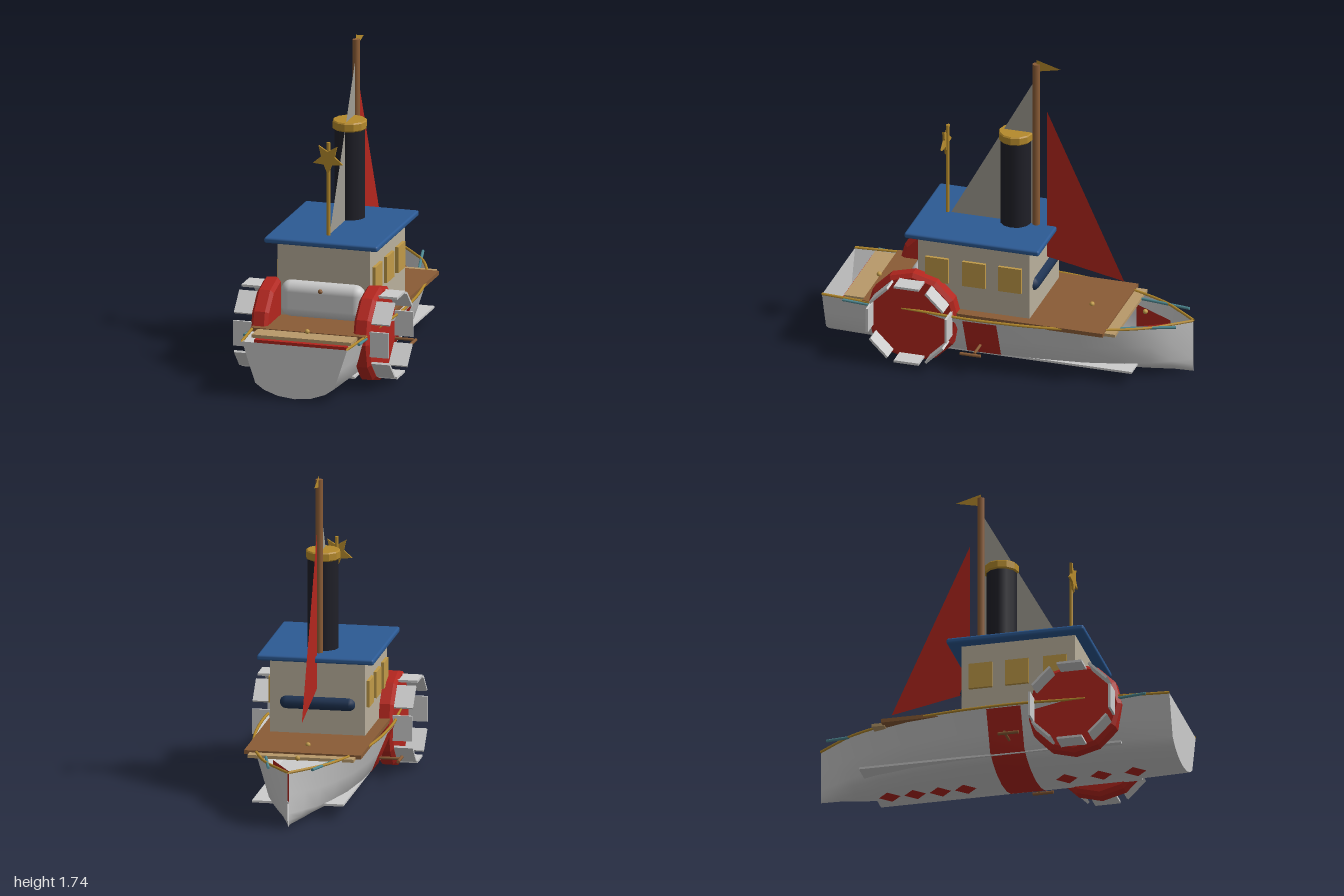
import * as THREE from 'three';
import { RoundedBoxGeometry } from 'three/addons/geometries/RoundedBoxGeometry.js';

const mat = (color, o = {}) => new THREE.MeshStandardMaterial({ color, ...o });
const two = { side: THREE.DoubleSide };
const M = {
  grey: mat(0xcccccc), shell: mat(0xcccccc, two), red: mat(0xb3261e, two), wheel: mat(0xb3261e, { flatShading: true }),
  wood: mat(0x8a5c36), tan: mat(0xb8996a), gold: mat(0xb58a2c, two), roof: mat(0x2c5a94), navy: mat(0x1e3352),
  wall: mat(0xbab09c), pane: mat(0xc09a48), black: mat(0x202028), teal: mat(0x4f8a94), sail: mat(0xa09c92, two),
};

// Hull half-widths from bow to stern [z, halfWidth], and half-section [width fraction, y]
const PLAN = [[-1, 0.004], [-0.9, 0.085], [-0.8, 0.16], [-0.65, 0.23], [-0.45, 0.295], [-0.2, 0.335], [0, 0.349],
  [0.19, 0.352], [0.4, 0.337], [0.7, 0.318], [1, 0.295]];
const HALF = [[1, 0.31], [0.87, 0.19], [0.75, 0.085], [0.58, 0.05], [0.32, 0.023], [0, 0.012]];
const SECTION = [...HALF, ...HALF.slice(0, -1).reverse().map(([s, y]) => [-s, y])];

function halfWidth(z) {
  const i = Math.max(1, PLAN.findIndex(p => p[0] >= z));
  const [a, b] = [PLAN[i - 1], PLAN[i]];
  return a[1] + (b[1] - a[1]) * (z - a[0]) / (b[0] - a[0]);
}

// Skin over the hull section at each z, pushed outward by grow
function hullSkin(zs, grow = 0) {
  const pos = [], idx = [], n = SECTION.length;
  zs.forEach(z => SECTION.forEach(([s, y]) =>
    pos.push(s * (halfWidth(z) + grow), y - grow * (1 - Math.abs(s)) - (grow && y > 0.3 ? 0.01 : 0), z)));
  for (let i = 0; i < zs.length - 1; i++) {
    for (let j = 0; j < n - 1; j++) {
      const a = i * n + j, b = a + n;
      idx.push(a, a + 1, b, a + 1, b + 1, b);
    }
  }
  const g = new THREE.BufferGeometry();
  g.setAttribute('position', new THREE.Float32BufferAttribute(pos, 3));
  g.setIndex(idx);
  g.computeVertexNormals();
  return g;
}

// Flat polygon in the x = 0 plane from [z, y] points
function sheet(points) {
  const s = new THREE.Shape(points.map(([z, y]) => new THREE.Vector2(-z, y)));
  return new THREE.ShapeGeometry(s).rotateY(Math.PI / 2);
}

export function createModel() {
  const root = new THREE.Group();
  const add = (name, geo, material, x = 0, y = 0, z = 0, parent = root) => {
    const m = new THREE.Mesh(geo, material);
    m.name = name;
    m.position.set(x, y, z);
    parent.add(m);
    return m;
  };
  const box = (name, material, w, y0, y1, z0, z1, x = 0) =>
    add(name, new THREE.BoxGeometry(w, y1 - y0, z1 - z0), material, x, (y0 + y1) / 2, (z0 + z1) / 2);
  const rod = (name, material, a, b, r, sides = 8) => {
    const p = new THREE.Vector3(...a), d = new THREE.Vector3(...b).sub(p);
    const m = add(name, new THREE.CylinderGeometry(r, r, d.length(), sides), material);
    m.position.copy(p).addScaledVector(d, 0.5);
    m.quaternion.setFromUnitVectors(new THREE.Vector3(0, 1, 0), d.normalize());
    return m;
  };

  // Open hull with flat stern, painted band and diamonds along the keel
  add('hull', hullSkin(PLAN.map(p => p[0])), M.shell);
  const stern = new THREE.Shape(SECTION.map(([s, y]) => new THREE.Vector2(s * halfWidth(1), y)));
  add('transom', new THREE.ShapeGeometry(stern), M.shell, 0, 0, 1);
  add('hullBand', hullSkin([0, 0.19], 0.003), M.red);
  for (const z of [-0.62, -0.48, -0.34, -0.2, 0.36, 0.55, 0.74]) {
    const d = add('keelDiamond', new THREE.CircleGeometry(0.06, 4), M.red, 0, 0.006, z);
    d.rotation.x = Math.PI / 2;
  }

  // Floor, decks and thwarts
  box('floor', M.grey, 0.5, 0.07, 0.082, -0.73, 0.72);
  box('deck', M.wood, 0.64, 0.3, 0.322, -0.59, 0.765);
  box('bowThwart', M.tan, 0.58, 0.295, 0.312, -0.65, -0.58);
  box('sternThwart', M.tan, 0.56, 0.3, 0.318, 0.76, 0.88);
  box('sternLocker', M.red, 0.52, 0.22, 0.295, 0.86, 0.895);
  for (const z of [0.77, -0.43, -0.73]) add('deckKnob', new THREE.SphereGeometry(0.014, 10, 8), M.pane, 0, 0.327, z);

  // Red lining inside the bow
  for (const s of [-1, 1]) {
    const wall = new THREE.PlaneGeometry(0.27, 0.17);
    const m = add('bowLining', wall, M.red, s * 0.085, 0.2, -0.75);
    m.rotation.y = s * -1.05;
  }

  // Cabin with side windows, rear bulge, front roll and roof
  box('cabin', M.wall, 0.52, 0.31, 0.735, -0.16, 0.47);
  add('rearBulge', new RoundedBoxGeometry(0.47, 0.2, 0.14, 4, 0.055), M.grey, 0, 0.422, 0.46);
  add('bulgeKnob', new THREE.SphereGeometry(0.013, 8, 6), M.wood, 0, 0.485, 0.535);
  const roll = add('frontRoll', new THREE.CapsuleGeometry(0.038, 0.34, 4, 12), M.navy, 0, 0.49, -0.15);
  roll.rotation.z = Math.PI / 2;
  for (const s of [-1, 1]) {
    for (const z of [0.36, 0.15, -0.052]) box('window', M.pane, 0.03, 0.47, 0.615, z - 0.065, z + 0.065, s * 0.262);
  }
  add('roof', new RoundedBoxGeometry(0.64, 0.032, 0.76, 2, 0.012), M.roof, 0, 0.745, 0.15);

  // Funnel with gold rim
  add('funnel', new THREE.CylinderGeometry(0.085, 0.085, 0.52, 12), M.black, 0, 1.01, 0);
  const rim = [[0, 1.255], [0.088, 1.255], [0.094, 1.262], [0.094, 1.298], [0.088, 1.305], [0, 1.305]];
  add('funnelRim', new THREE.LatheGeometry(rim.map(p => new THREE.Vector2(...p)), 12),
    mat(0xb58a2c, { flatShading: true }));

  // Mast, pennant and sails
  rod('mast', M.wood, [0, 0.75, -0.115], [0, 1.72, -0.115], 0.02, 10);
  add('pennant', sheet([[-0.115, 1.745], [-0.115, 1.675], [-0.255, 1.705]]), M.gold);
  add('aftSail', sheet([[0.365, 0.76], [-0.095, 0.76], [-0.095, 1.6]]), M.sail);
  add('foreSail', sheet([[-0.175, 1.445], [-0.175, 0.575], [-0.61, 0.49]]), M.red);

  // Star on a pole
  rod('starPole', M.gold, [0, 0.75, 0.385], [0, 1.28, 0.385], 0.01);
  const star = new THREE.Shape();
  for (let i = 0; i < 10; i++) {
    const a = -Math.PI / 2 + i * Math.PI / 5, r = i % 2 ? 0.04 : 0.088;
    star[i ? 'lineTo' : 'moveTo'](Math.cos(a) * r, Math.sin(a) * r);
  }
  star.closePath();
  add('star', new THREE.ExtrudeGeometry(star, { depth: 0.012, bevelEnabled: false }), M.gold, 0, 1.19, 0.388);

  // Mirrored parts: gunwale, paddle wheel, side handle and rods
  const disc = [[0, -0.047], [0.24, -0.047], [0.262, -0.03], [0.262, 0.03], [0.24, 0.047], [0, 0.047]];
  const wheelGeo = new THREE.LatheGeometry(disc.map(p => new THREE.Vector2(...p)), 12).rotateZ(Math.PI / 2);
  for (const s of [-1, 1]) {
    const edge = PLAN.map(([z, w]) => new THREE.Vector3(s * w, 0.314, z));
    add('gunwale', new THREE.TubeGeometry(new THREE.CatmullRomCurve3(edge), 30, 0.008, 6), M.gold);

    const wheel = new THREE.Group();
    wheel.name = 'paddleWheel';
    wheel.position.set(s * 0.288, 0.266, 0.48);
    root.add(wheel);
    add('wheelDisc', wheelGeo, M.wheel, 0, 0, 0, wheel);
    for (let i = 0; i < 8; i++) {
      const a = i * Math.PI / 4;
      const p = add('paddle', new THREE.BoxGeometry(0.14, 0.013, 0.14), M.grey,
        s * 0.08, Math.cos(a) * 0.222, Math.sin(a) * 0.222, wheel);
      p.rotation.x = a;
    }

    rod('handlePost', M.wood, [s * 0.27, 0.135, 0.11], [s * 0.395, 0.135, 0.11], 0.008);
    rod('handleBar', M.wood, [s * 0.395, 0.125, 0.075], [s * 0.395, 0.125, 0.19], 0.009);
    rod('bowRod', M.teal, [s * 0.12, 0.32, -0.94], [s * 0.2, 0.3, -0.6], 0.008);
    rod('sternRod', M.teal, [s * 0.318, 0.3, 0.72], [s * 0.322, 0.31, 0.875], 0.008);
  }
  return root;
}
